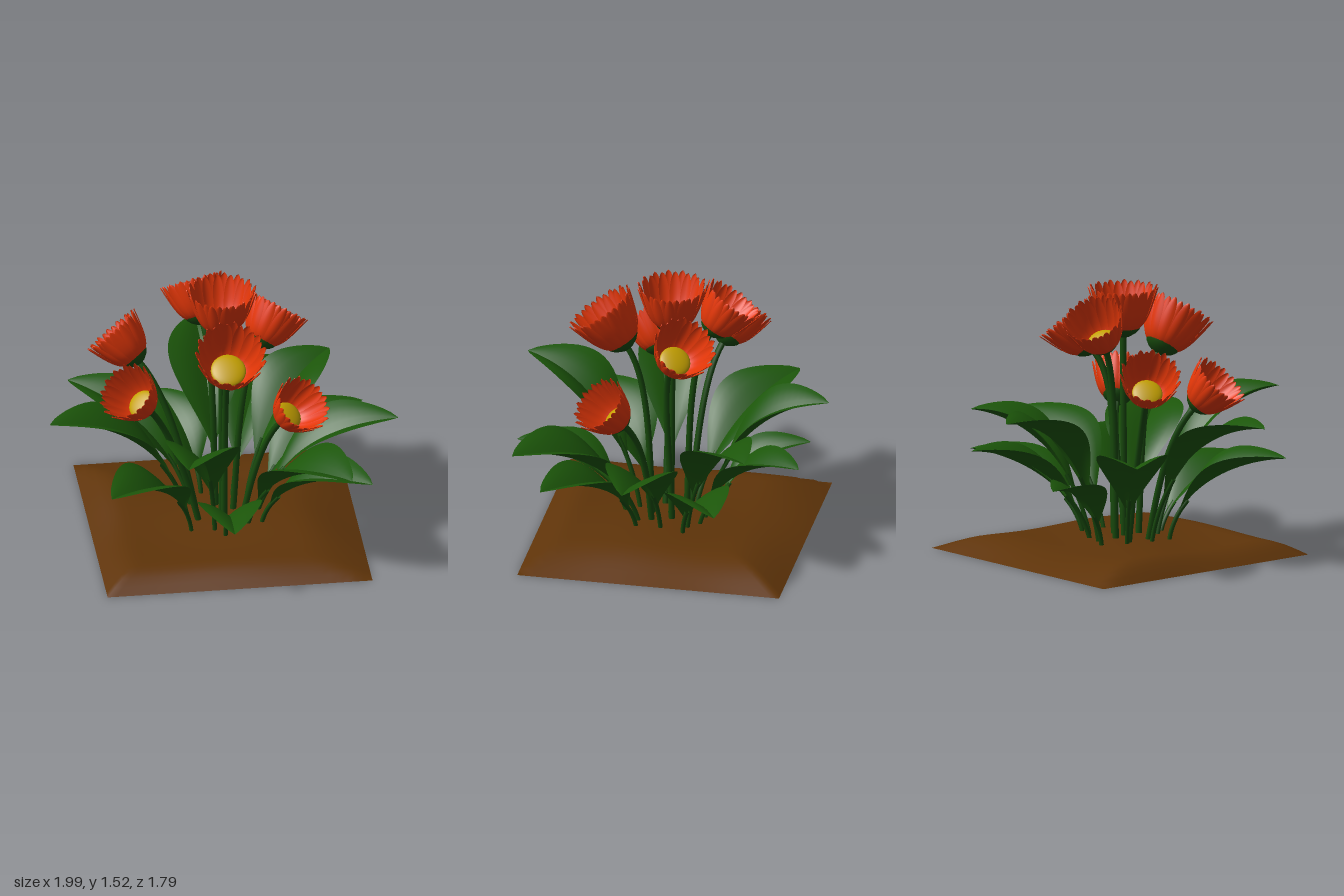
import * as THREE from 'three';
import { mergeGeometries } from 'three/addons/utils/BufferGeometryUtils.js';

const mat = (color) => new THREE.MeshStandardMaterial({ color, side: THREE.DoubleSide });
const V = (x, y, z) => new THREE.Vector3(x, y, z);

// Grid surface: f(s, u) gives a point for s along 0..1 and u across u0..u1
function ribbon(rows, cols, u0, u1, f) {
  const pos = [], index = [];
  for (let i = 0; i <= rows; i++)
    for (let j = 0; j <= cols; j++) pos.push(...f(i / rows, u0 + (u1 - u0) * j / cols).toArray());
  for (let i = 0; i < rows; i++)
    for (let j = 0; j < cols; j++) {
      const a = i * (cols + 1) + j, b = a + 1, c = a + cols + 1, d = c + 1;
      index.push(a, b, c, b, d, c);
    }
  const g = new THREE.BufferGeometry();
  g.setAttribute('position', new THREE.Float32BufferAttribute(pos, 3));
  g.setIndex(index);
  g.computeVertexNormals();
  return g;
}

// Ring of tongue-shaped petals lying on a flaring cup
function petalRing(count, spread, height, offset) {
  const profile = new THREE.CubicBezierCurve(
    new THREE.Vector2(0.05, 0.02), new THREE.Vector2(0.13 * spread, 0.04),
    new THREE.Vector2(0.155 * spread, 0.14), new THREE.Vector2(0.195 * spread, height));
  const petals = [];
  for (let k = 0; k < count; k++) {
    const angle = (k + offset) / count * Math.PI * 2;
    petals.push(ribbon(14, 4, -1, 1, (s, u) => {
      const t = 1 - (1 - s) ** 1.6;
      const p = profile.getPoint(t);
      const tip = t > 0.62 ? Math.sqrt(Math.max(0, 1 - ((t - 0.62) / 0.38) ** 2)) : 1;
      const a = angle + u * 0.036 * (0.5 + 0.5 * t) * tip / p.x;
      const r = p.x + 0.006 * (1 - u * u) * t;
      return V(r * Math.sin(a), p.y, r * Math.cos(a));
    }));
  }
  return mergeGeometries(petals);
}

export function createModel() {
  const model = new THREE.Group();
  const petalMat = mat(0xe23607), leafMat = mat(0x1c560a), stemMat = mat(0x17490c);
  const diskMat = mat(0xc4a000), soilMat = mat(0x5f3409);
  const add = (parent, name, geometry, material) => {
    const m = new THREE.Mesh(geometry, material);
    m.name = name;
    parent.add(m);
    return m;
  };

  // Soil: square mound falling to nothing at its rim, softer at the right and back
  const soilGeo = new THREE.BoxGeometry(1.5, 1, 1.5, 32, 1, 32);
  const sp = soilGeo.attributes.position;
  for (let i = 0; i < sp.count; i++) {
    const x = sp.getX(i), z = sp.getZ(i);
    const ramp = Math.min(1, (0.75 + x) / 0.2, (0.75 - x) / 0.36, (0.75 - z) / 0.2, (0.75 + z) / 0.36);
    const h = (0.085 + 0.01 * Math.sin(5 * x + 2 * z) + 0.008 * Math.cos(7 * z - 3 * x))
      * Math.sin(ramp * Math.PI / 2);
    sp.setY(i, sp.getY(i) > 0 ? h : 0);
  }
  soilGeo.computeVertexNormals();
  add(model, 'soil', soilGeo, soilMat).position.set(0.01, 0, -0.025);

  // Flowers: base of head, centre of mouth, scale
  const flowers = [
    [V(0, 1.24, -0.01), V(0, 1.52, -0.01), 1],
    [V(0, 1.11, 0.25), V(0, 1.33, 0.4), 1.02],
    [V(0.32, 0.78, 0.21), V(0.43, 0.96, 0.34), 0.84],
    [V(-0.44, 0.87, 0.14), V(-0.57, 1.04, 0.23), 0.86],
    [V(-0.44, 0.97, -0.21), V(-0.6, 1.15, -0.31), 0.88],
    [V(-0.08, 1.2, -0.21), V(-0.13, 1.4, -0.34), 0.9],
    [V(0.21, 1.12, -0.05), V(0.34, 1.31, -0.15), 0.92],
  ];
  const outer = petalRing(15, 1, 0.28, 0), inner = petalRing(15, 0.93, 0.275, 0.5);
  const calyxGeo = new THREE.LatheGeometry(
    [[0.001, -0.015], [0.035, -0.008], [0.07, 0.012], [0.09, 0.032], [0.1, 0.052]]
      .map(([r, y]) => new THREE.Vector2(r, y)), 24);
  const diskGeo = new THREE.SphereGeometry(0.098, 24, 8, 0, Math.PI * 2, 0, Math.PI / 2);
  diskGeo.scale(1, 0.3, 1);

  for (const [base, mouth, scale] of flowers) {
    const flower = new THREE.Group();
    flower.name = 'flower';
    model.add(flower);
    const axis = mouth.clone().sub(base).normalize();
    const head = new THREE.Group();
    head.name = 'flowerHead';
    head.position.copy(base);
    head.quaternion.setFromUnitVectors(V(0, 1, 0), axis);
    head.scale.setScalar(scale);
    flower.add(head);
    add(head, 'outerPetals', outer, petalMat);
    add(head, 'innerPetals', inner, petalMat);
    add(head, 'calyx', calyxGeo, stemMat);
    add(head, 'flowerCentre', diskGeo, diskMat).position.y = 0.065;

    // Stem leaving the ground near the middle and bending into the head
    const stem = new THREE.CubicBezierCurve3(
      V(base.x * 0.3, 0.04, base.z * 0.4),
      V(base.x * 0.45, base.y * 0.4, base.z * 0.5),
      base.clone().addScaledVector(axis, -0.24), base);
    add(flower, 'stem', new THREE.TubeGeometry(stem, 20, 0.018, 8), stemMat);
  }

  // Leaves: tip position and half width
  const leaves = [
    [-1, 0.83, 0.19, 0.19], [0.99, 0.67, 0.08, 0.2], [-0.04, 0.85, -0.9, 0.21],
    [-0.3, 0.88, 0.88, 0.21], [-0.04, 0.45, 0.89, 0.18], [0.37, 0.62, -0.81, 0.17],
    [-0.27, 0.48, -0.75, 0.15], [0.68, 0.78, -0.56, 0.2], [0.85, 0.51, -0.42, 0.18],
    [-0.8, 0.67, -0.58, 0.2], [-0.7, 0.56, 0.6, 0.2], [0.64, 0.68, 0.78, 0.22],
    [0.78, 0.54, 0.59, 0.19],
  ];
  for (const [x, h, z, width] of leaves) {
    const leaf = new THREE.Group();
    leaf.name = 'leaf';
    model.add(leaf);
    const R = Math.hypot(x, z), dx = x / R, dz = z / R;
    const at = (r, y) => V(dx * r, y, dz * r);
    const rib = new THREE.CubicBezierCurve3(
      at(h < 0.6 ? 0.25 : 0.19, 0.04), at(0.28, h * (0.55 + 0.15 * h)),
      at(R * 0.65, h * 0.97), at(R, h));

    // Leaf stalk
    const stalk = [0, 0.08, 0.16, 0.24, 0.32].map((t) => rib.getPoint(t));
    add(leaf, 'leafStalk',
      new THREE.TubeGeometry(new THREE.CatmullRomCurve3(stalk), 12, 0.013, 6), stemMat);

    // Blade in two halves, creased at the midrib, with raised and curled sides
    const blade = (s, u) => {
      const p = rib.getPoint(0.2 + 0.8 * s);
      const w = width * Math.max(0, Math.sin(Math.PI * s)) ** (1.3 - 0.5 * s);
      const lift = w * (1.2 * Math.abs(u) - 0.5 * u * u) * (1 - 0.5 * s);
      return p.add(V(-dz * w * u, lift, dx * w * u));
    };
    add(leaf, 'leafBlade',
      mergeGeometries([ribbon(20, 4, -1, 0, blade), ribbon(20, 4, 0, 1, blade)]), leafMat);
  }
  return model;
}
